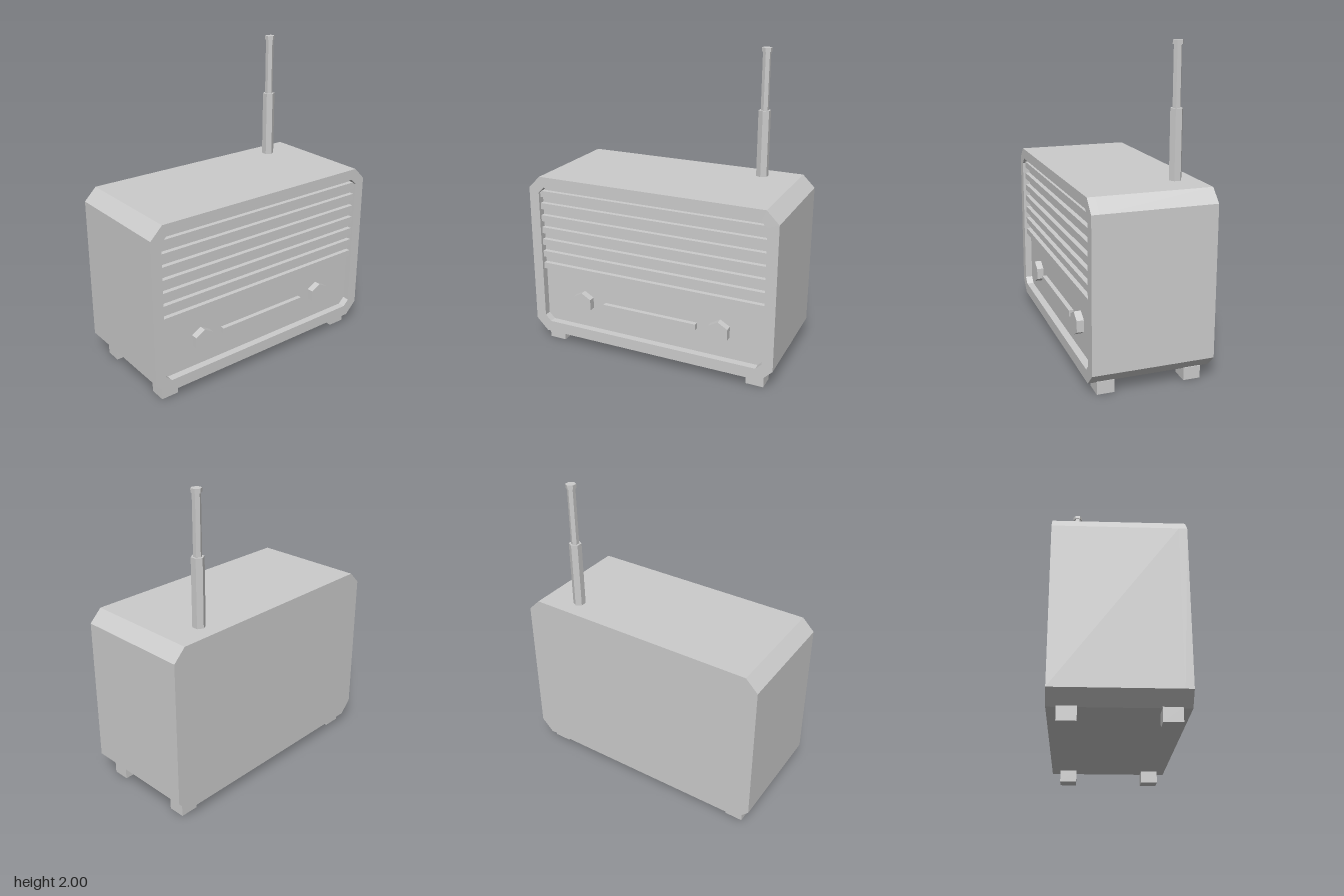
import * as THREE from 'three';

const material = new THREE.MeshStandardMaterial({ color: 0xcccccc, flatShading: true });

// Rectangle with cut corners, traced counter-clockwise
function chamferedPoints(halfWidth, bottom, top, cut) {
  return [
    [-halfWidth + cut, bottom], [halfWidth - cut, bottom],
    [halfWidth, bottom + cut], [halfWidth, top - cut],
    [halfWidth - cut, top], [-halfWidth + cut, top],
    [-halfWidth, top - cut], [-halfWidth, bottom + cut],
  ].map(([x, y]) => new THREE.Vector2(x, y));
}

export function createModel() {
  const model = new THREE.Group();
  model.name = 'radio';

  const add = (name, geometry, x = 0, y = 0, z = 0, parent = model) => {
    const mesh = new THREE.Mesh(geometry, material);
    mesh.name = name;
    mesh.position.set(x, y, z);
    parent.add(mesh);
    return mesh;
  };
  const extrude = (shape, depth) =>
    new THREE.ExtrudeGeometry(shape, { depth, bevelEnabled: false });

  const front = 0.38, panel = 0.333;
  const outline = chamferedPoints(0.845, 0.075, 1.18, 0.08);

  // Cabinet, and a raised frame around the recessed front panel
  add('cabinet', extrude(new THREE.Shape(outline), panel + front), 0, 0, -front);
  const frame = new THREE.Shape(outline);
  frame.holes.push(new THREE.Path(chamferedPoints(0.775, 0.15, 1.11, 0.04).reverse()));
  add('frontFrame', extrude(frame, front - panel), 0, 0, panel);

  // Speaker grille slats
  const grille = new THREE.Group();
  grille.name = 'speakerGrille';
  model.add(grille);
  for (let i = 0; i < 7; i++) {
    add('slat', new THREE.BoxGeometry(1.55, 0.042, 0.03), 0, 1.058 - i * 0.0842, panel + 0.015, grille);
  }

  // Tuning bar and hexagonal knobs
  add('tuningBar', new THREE.BoxGeometry(0.655, 0.04, 0.03), 0, 0.331, panel + 0.015);
  for (const side of [-1, 1]) {
    const knob = new THREE.CylinderGeometry(0.074, 0.074, 0.045, 6).rotateX(Math.PI / 2);
    add(side > 0 ? 'leftKnob' : 'rightKnob', knob, side * 0.483, 0.334, panel + 0.0225);
  }

  // Four feet
  for (const x of [-0.717, 0.717]) {
    for (const z of [-0.272, 0.275]) {
      add('foot', new THREE.BoxGeometry(0.117, 0.08, 0.108), x, 0.04, z);
    }
  }

  // Telescopic antenna: thick tube, thin rod, tip
  const antenna = new THREE.Group();
  antenna.name = 'antenna';
  antenna.position.set(0.53, 0, -0.246);
  model.add(antenna);
  const sections = [
    ['antennaTube', 0.04, 1.17, 1.61],
    ['antennaRod', 0.026, 1.61, 1.975],
    ['antennaTip', 0.033, 1.975, 2],
  ];
  for (const [name, radius, bottom, top] of sections) {
    const tube = new THREE.CylinderGeometry(radius, radius, top - bottom, 6);
    add(name, tube, 0, (bottom + top) / 2, 0, antenna);
  }

  return model;
}
